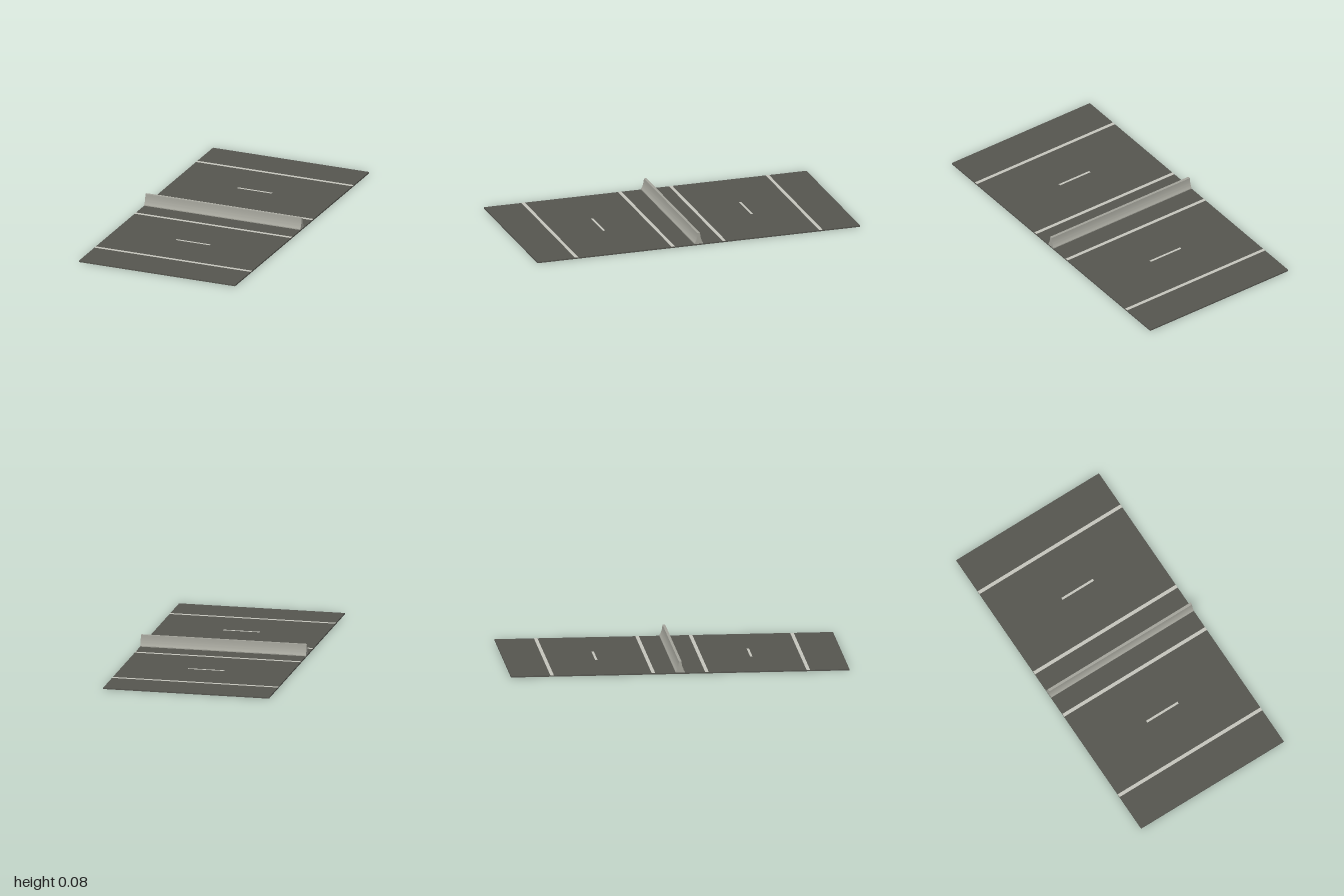
import * as THREE from 'three';
import { toCreasedNormals } from 'three/addons/utils/BufferGeometryUtils.js';

export function createModel() {
  const group = new THREE.Group();
  const material = (name, color) => {
    const m = new THREE.MeshStandardMaterial({ color });
    m.name = name;
    return m;
  };
  const asphalt = material('asphalt', 0x55554f);
  const concrete = material('concrete', 0xa3a39a);
  const paint = material('road paint', 0xc4c4bb);

  const WIDTH = 1, LENGTH = 2, ROAD_TOP = 0.008;

  const addBox = (name, mat, w, h, d, y, z) => {
    const mesh = new THREE.Mesh(new THREE.BoxGeometry(w, h, d), mat);
    mesh.name = name;
    mesh.position.set(0, y, z);
    group.add(mesh);
  };

  // Road slab
  addBox('roadSlab', asphalt, WIDTH, ROAD_TOP, LENGTH, ROAD_TOP / 2, 0);

  // Painted lines, the same on both carriageways
  const lineY = ROAD_TOP + 0.0002;
  for (const side of [-1, 1]) {
    addBox('innerLine', paint, WIDTH, 0.0006, 0.021, lineY, side * 0.158);
    addBox('outerLine', paint, WIDTH, 0.0006, 0.021, lineY, side * 0.757);
    addBox('laneDash', paint, 0.22, 0.0006, 0.014, lineY, side * 0.458);
  }

  // Median barrier: flared foot curving up into a narrow wall
  const profile = new THREE.Shape();
  profile.moveTo(-0.027, ROAD_TOP);
  profile.lineTo(0.027, ROAD_TOP);
  profile.lineTo(0.027, 0.013);
  profile.quadraticCurveTo(0.01, 0.032, 0.008, 0.075);
  profile.lineTo(-0.008, 0.075);
  profile.quadraticCurveTo(-0.01, 0.032, -0.027, 0.013);
  profile.closePath();
  const wall = new THREE.ExtrudeGeometry(profile, { depth: WIDTH, bevelEnabled: false, curveSegments: 10 });
  wall.translate(0, 0, -WIDTH / 2);
  wall.rotateY(Math.PI / 2);
  const barrier = new THREE.Mesh(toCreasedNormals(wall, 0.5), concrete);
  barrier.name = 'medianBarrier';
  group.add(barrier);

  return group;
}
